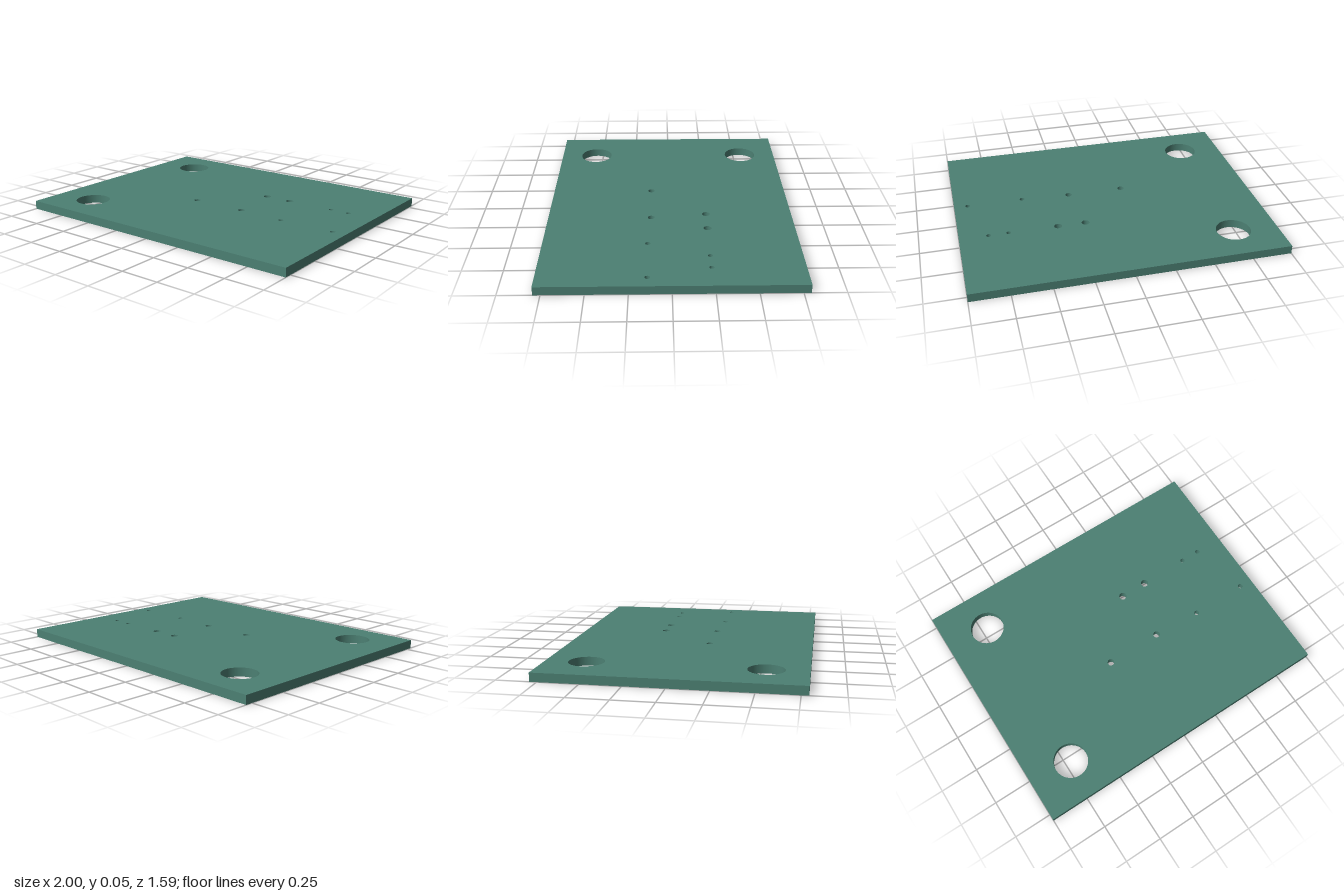
import * as THREE from 'three';

const HALF_X = 1, HALF_Z = 0.794, THICKNESS = 0.055;

// Through-holes: x, z, radius
const HOLES = [
  // large mounting holes
  [-0.712, -0.54, 0.111], [-0.712, 0.54, 0.111],
  // medium pin holes
  [0.188, -0.235, 0.025], [0.368, -0.235, 0.025],
  [-0.14, 0.124, 0.022], [0.227, 0.124, 0.022],
  // small pin holes
  [0.687, -0.235, 0.015], [0.814, -0.235, 0.015],
  [0.545, 0.143, 0.016], [0.911, 0.143, 0.016],
];

export function createModel() {
  const group = new THREE.Group();
  group.name = 'drilledBoard';

  // Board outline in plan, shape y becomes z
  const outline = new THREE.Shape([
    new THREE.Vector2(-HALF_X, -HALF_Z),
    new THREE.Vector2(HALF_X, -HALF_Z),
    new THREE.Vector2(HALF_X, HALF_Z),
    new THREE.Vector2(-HALF_X, HALF_Z),
  ]);
  for (const [x, z, r] of HOLES) {
    outline.holes.push(new THREE.Path().absarc(x, z, r, 0, Math.PI * 2, true));
  }

  // Lay the plate flat on the ground
  const geometry = new THREE.ExtrudeGeometry(outline, {
    depth: THICKNESS, bevelEnabled: false, curveSegments: 48,
  });
  geometry.rotateX(Math.PI / 2).translate(0, THICKNESS, 0);

  const board = new THREE.Mesh(geometry, new THREE.MeshStandardMaterial({ color: 0x4c8073 }));
  board.name = 'board';
  group.add(board);
  return group;
}
